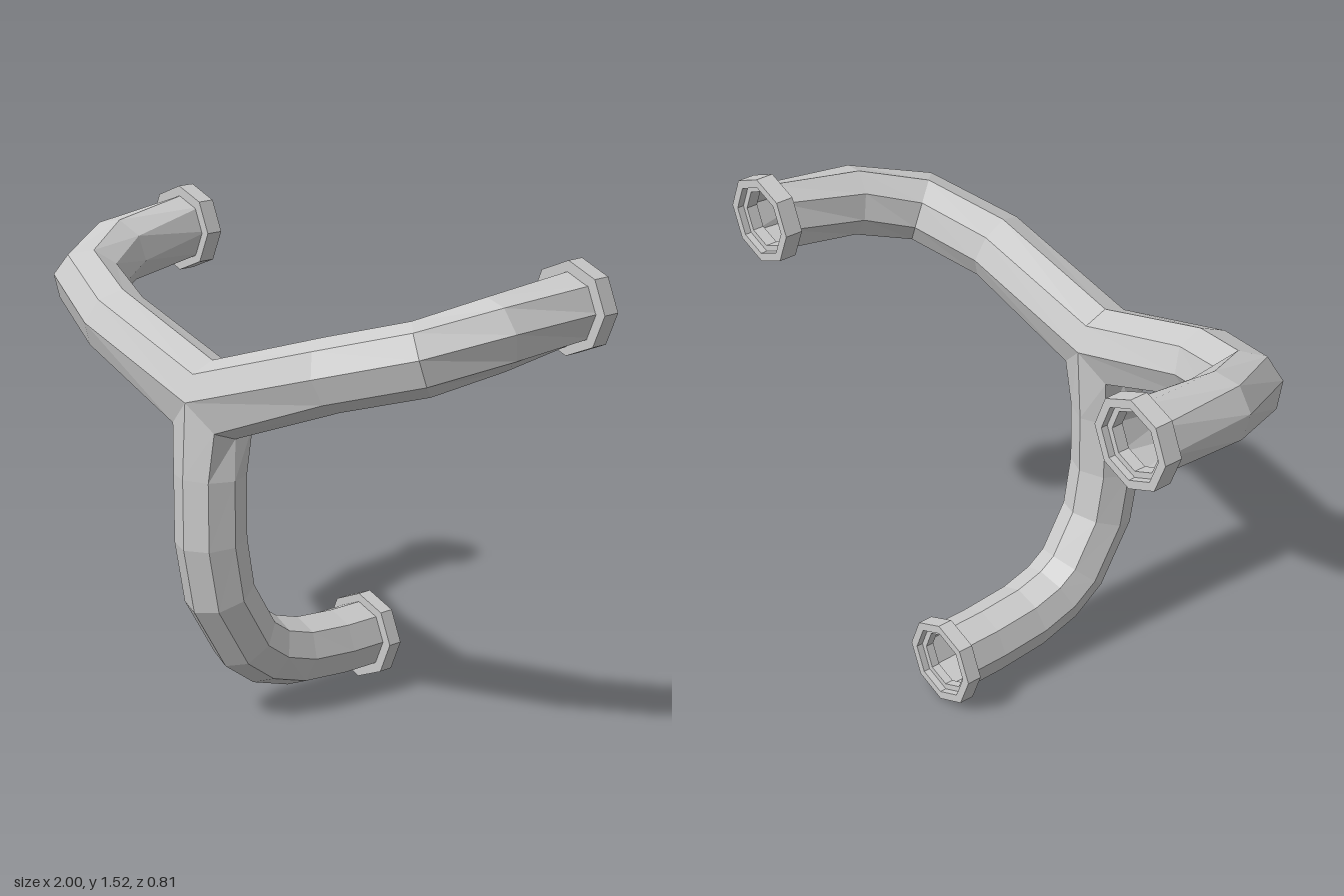
import * as THREE from 'three';

const SIDES = 8;
const R = 0.112;      // pipe radius
const RF = 0.143;     // flange radius
const V = (x, y, z) => new THREE.Vector3(x, y, z);

const material = new THREE.MeshStandardMaterial({
  color: 0xcccccc, flatShading: true, side: THREE.DoubleSide,
});

// Octagonal section around c, facing along t, first corner towards the hint
function section(c, t, hint) {
  const a = hint.clone().addScaledVector(t, -hint.dot(t)).normalize();
  const b = t.clone().cross(a);
  return Array.from({ length: SIDES }, (_, j) => {
    const k = (j / SIDES) * Math.PI * 2;
    return c.clone().addScaledVector(a, R * Math.cos(k)).addScaledVector(b, R * Math.sin(k));
  });
}

// Sections along a path; the first path point is the junction centre
function sections(path, hints, endDir) {
  const dir = (i) => path[i + 1].clone().sub(path[i]).normalize();
  return path.slice(1).map((c, n) => {
    const i = n + 1;
    const t = i < path.length - 1 ? dir(i - 1).add(dir(i)).normalize() : endDir;
    return section(c, t, hints(n));
  });
}

// Skin a list of equal loops
function loft(loops) {
  const pos = [];
  for (let i = 0; i < loops.length - 1; i++) {
    for (let j = 0; j < SIDES; j++) {
      const k = (j + 1) % SIDES;
      const a = loops[i][j], b = loops[i][k], c = loops[i + 1][k], d = loops[i + 1][j];
      for (const p of [a, b, c, a, c, d]) pos.push(p.x, p.y, p.z);
    }
  }
  const g = new THREE.BufferGeometry();
  g.setAttribute('position', new THREE.Float32BufferAttribute(pos, 3));
  g.computeVertexNormals();
  return g;
}

function add(group, name, geometry) {
  const mesh = new THREE.Mesh(geometry, material);
  mesh.name = name;
  group.add(mesh);
  return mesh;
}

// Open collar with a stepped bore, its mouth facing -z
function flangeGeometry(depth) {
  const profile = [
    [0.095, 0], [RF, 0], [RF, depth], [0.115, depth],
    [0.115, depth - 0.022], [0.095, depth - 0.022], [0.095, 0],
  ].map(([r, y]) => new THREE.Vector2(r, y));
  return new THREE.LatheGeometry(profile, SIDES).rotateX(-Math.PI / 2);
}

export function createModel() {
  const group = new THREE.Group();
  const mirror = (p) => V(-p.x, p.y, p.z);
  const zBack = V(0, 0, -1);

  // Shared corners where the three pipes meet
  const jz = 0.281, o = 0.079;
  const joint = V(0, 1.06, jz);
  const front = V(0, 1.062, jz + R), back = V(0, 1.062, jz - R);
  const crotchFront = V(0.094, 0.977, jz + o), crotchBack = V(0.094, 0.977, jz - o);
  const crotch = V(0.097, 0.947, jz - 0.004);

  // Upper arms: one built, the other mirrored
  const armPath = [joint, V(0.485, 1.212, 0.25), V(0.743, 1.287, 0.15),
    V(0.838, 1.342, -0.058), V(0.857, 1.378, -0.37)];
  const rolls = [0.3, 0.3, 0.2, 0];
  const armLoops = [
    [V(0, 1.176, jz), V(0, 1.145, jz + o), front, crotchFront, crotch, crotchBack, back, V(0, 1.145, jz - o)],
    ...sections(armPath, (n) => V(-Math.sin(rolls[n]), Math.cos(rolls[n]), 0), zBack),
  ];
  add(group, 'leftArm', loft(armLoops));
  add(group, 'rightArm', loft(armLoops.map((l) => l.map(mirror).reverse())));

  // Lower stem, curving down and to the back
  const stemPath = [joint, V(0, 0.82, 0.293), V(0, 0.61, 0.292), V(0, 0.43, 0.258),
    V(0, 0.26, 0.153), V(0, 0.2, 0.067), V(0, 0.163, -0.055), V(0, 0.148, -0.225),
    V(0, 0.146, -0.37)];
  const stemTop = [crotch, crotchFront, front, mirror(crotchFront), mirror(crotch),
    mirror(crotchBack), back, crotchBack];
  add(group, 'lowerStem', loft([stemTop, ...sections(stemPath, () => V(1, 0, 0), zBack)]));

  // Flanges at the three open ends
  for (const [name, x, y, depth] of [
    ['leftFlange', 0.857, 1.378, 0.06],
    ['rightFlange', -0.857, 1.378, 0.06],
    ['lowerFlange', 0, 0.143, 0.05],
  ]) {
    add(group, name, flangeGeometry(depth)).position.set(x, y, -0.405 + depth);
  }
  return group;
}
